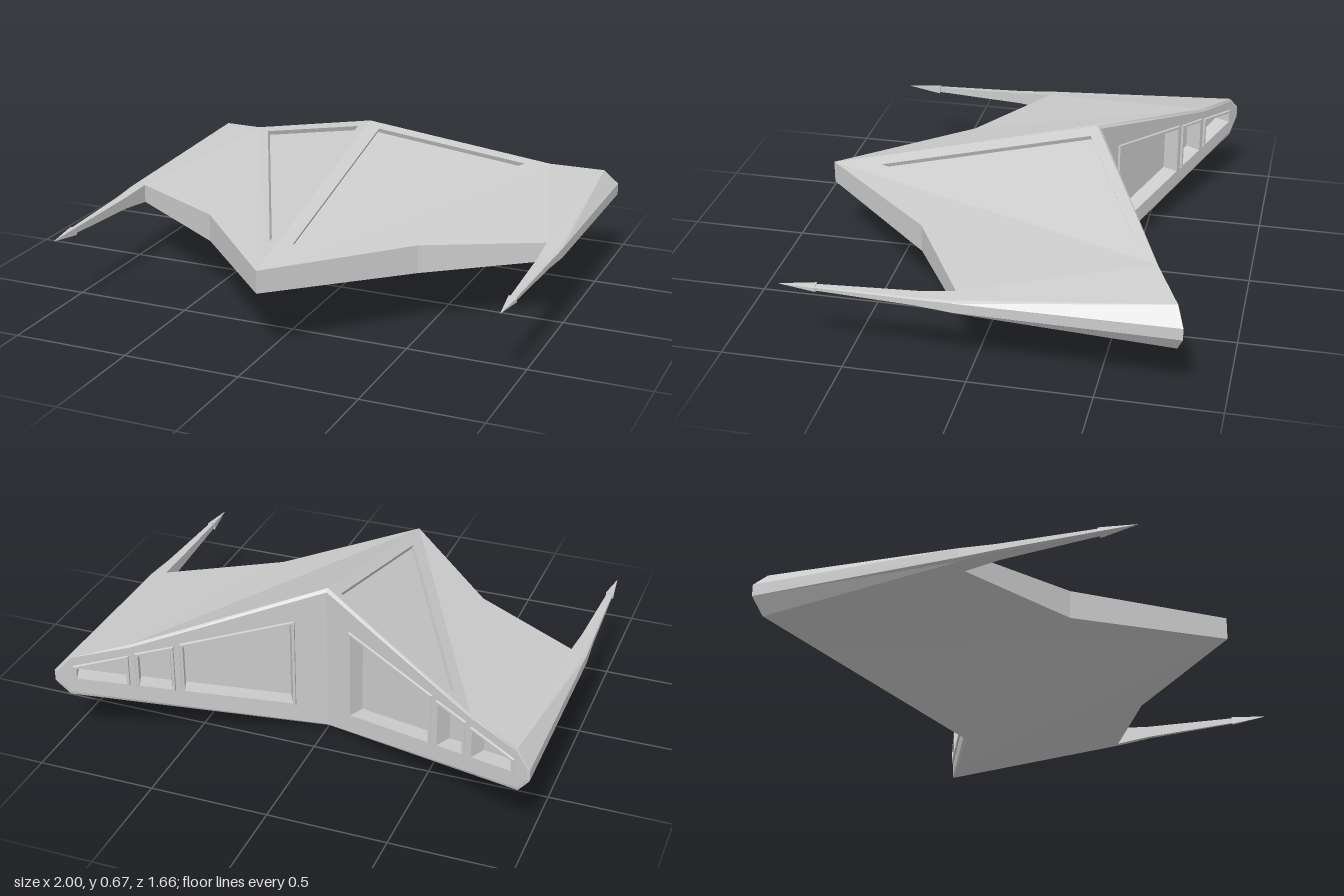
import * as THREE from 'three';

const V = (x, y, z) => new THREE.Vector3(x, y, z);
const CORE = V(0.45, 0.32, -0.3); // inside the right half of the hull

// Collects triangles for the +x half; build() mirrors them to both sides.
class Half {
  tris = [];

  tri(a, b, c) { this.tris.push([a, b, c]); }

  // Triangle turned to face away from the hull core
  outward(a, b, c) {
    const n = b.clone().sub(a).cross(c.clone().sub(a));
    if (n.dot(a.clone().sub(CORE)) < 0) this.tri(a, c, b);
    else this.tri(a, b, c);
  }

  // Outward polygon, with holes, flattened along the given axes to triangulate
  face(points, holes = [], u = 'x', v = 'z') {
    const flat = (loop) => loop.map((p) => new THREE.Vector2(p[u], p[v]));
    const all = [points, ...holes].flat();
    for (const [i, j, k] of THREE.ShapeUtils.triangulateShape(flat(points), holes.map(flat))) {
      this.outward(all[i], all[j], all[k]);
    }
  }

  quad(a, b, c, d) { this.outward(a, b, c); this.outward(a, c, d); }

  // Joins counter-clockwise rings one to the next and caps the last
  loft(rings) {
    for (let i = 0; i < rings.length - 1; i++) {
      const r = rings[i], s = rings[i + 1];
      r.forEach((p, j) => {
        const k = (j + 1) % r.length;
        this.tri(p, r[k], s[k]);
        this.tri(p, s[k], s[j]);
      });
    }
    const end = rings[rings.length - 1];
    for (let j = 1; j < end.length - 1; j++) this.tri(end[0], end[j], end[j + 1]);
  }

  build(name) {
    const pos = [];
    for (const [a, b, c] of this.tris) {
      for (const p of [a, b, c]) pos.push(p.x, p.y, p.z);
      for (const p of [a, c, b]) pos.push(-p.x, p.y, p.z);
    }
    const g = new THREE.BufferGeometry();
    g.setAttribute('position', new THREE.Float32BufferAttribute(pos, 3));
    g.computeVertexNormals();
    const mesh = new THREE.Mesh(g, new THREE.MeshStandardMaterial({ color: 0xcccccc, flatShading: true }));
    mesh.name = name;
    return mesh;
  }
}

export function createModel() {
  const group = new THREE.Group();
  group.name = 'gliderCraft';

  // Leading edge corners, upper (1) and lower (0)
  const N1 = V(0, 0.375, 0.83), N0 = V(0, 0.28, 0.83);
  const M1 = V(0.47, 0.37, 0.31), M0 = V(0.47, 0.25, 0.31);
  const I1 = V(0.93, 0.36, 0.05), I0 = V(0.93, 0.28, 0.05);

  // Swept trailing edge
  const rear = (x, y) => V(x, y, -0.33 - 0.5 * x);
  const edge = [[0, 0.665], [0.72, 0.45], [0.94, 0.415], [1, 0.35], [1, 0.3], [0.95, 0.23], [0.72, 0.174], [0, 0]]
    .map(([x, y]) => rear(x, y));
  const [R1, S1, T, O1, O2, B, S0, R0] = edge;

  // Root section of the wingtip prong
  const P = [I0, V(0.985, 0.295, 0.05), V(0.998, 0.305, 0.05),
    V(0.998, 0.345, 0.05), V(0.985, 0.352, 0.05), I1];

  // Triangular sunken panel lying in the plane of the main upper facet
  const up = R1.clone().sub(N1).cross(S1.clone().sub(N1)).normalize();
  if (up.y < 0) up.negate();
  const onTop = (x, z) => V(x, N1.y - (up.x * x + up.z * (z - N1.z)) / up.y, z);
  const panel = [onTop(0.05, 0.6), onTop(0.63, -0.6), onTop(0.05, -0.31)];

  // Hull skin
  const hull = new Half();
  hull.face([N1, R1, S1], [panel]);
  hull.outward(N1, S1, M1);
  hull.outward(M1, S1, I1);
  hull.outward(S1, T, I1);
  hull.outward(T, P[4], I1);
  hull.quad(T, O1, P[3], P[4]);
  hull.quad(O1, O2, P[2], P[3]);
  hull.quad(O2, B, P[1], P[2]);
  hull.outward(N0, R0, S0);
  hull.outward(N0, S0, M0);
  hull.outward(M0, S0, I0);
  hull.outward(S0, B, I0);
  hull.outward(B, P[1], I0);
  hull.quad(N1, M1, M0, N0);
  hull.quad(M1, I1, I0, M0);
  group.add(hull.build('hull'));

  const recess = new Half();
  recess.loft([panel, panel.map((p) => p.clone().addScaledVector(up, -0.02))]);
  group.add(recess.build('topPanelRecess'));

  // Rear bulkhead: point on its plane, raised by h along its normal
  const onRear = (x, y, h = 0) => V(x - 0.44 * h, y, -0.345 - 0.488 * x - 0.9 * h);
  const winTop = (x) => 0.515 - 0.204 * (x - 0.12);
  const winLow = (x) => 0.13 + 0.222 * (x - 0.12);
  const ring = (x0, x1, d, h) => [
    onRear(x0 - d, winLow(x0) - d, h), onRear(x0 - d, winTop(x0) + d, h),
    onRear(x1 + d, winTop(x1) + d, h), onRear(x1 + d, winLow(x1) - d, h),
  ];
  const windows = [[0.13, 0.53], [0.575, 0.695], [0.74, 0.92]];

  const cap = [[0, 0.652], [0.72, 0.438], [0.935, 0.403], [0.988, 0.346],
    [0.988, 0.304], [0.945, 0.243], [0.72, 0.187], [0, 0.014]].map(([x, y]) => onRear(x, y));
  const bulkhead = new Half();
  for (let i = 0; i < edge.length - 1; i++) bulkhead.quad(edge[i], edge[i + 1], cap[i + 1], cap[i]);
  bulkhead.face(cap, windows.map(([a, b]) => ring(a, b, 0.012, 0)), 'x', 'y');
  group.add(bulkhead.build('rearBulkhead'));

  // Raised rims and sunken bays
  const bays = new Half();
  for (const [a, b] of windows) {
    bays.loft([ring(a, b, 0.012, 0), ring(a, b, 0.009, 0.008), ring(a, b, 0, 0.008), ring(a, b, -0.004, -0.06)]);
  }
  group.add(bays.build('rearBays'));

  // Forward prong with a barbed point
  const prong = new Half();
  const section = (z, s) => P.map((p) => V(0.963 + (p.x - 0.963) * s, 0.327 + (p.y - 0.327) * s * 0.85, z));
  prong.loft([P, section(0.2, 0.75), section(0.6, 0.35), section(0.6, 0.5), section(0.75, 0.02)]);
  group.add(prong.build('wingtipProngs'));

  return group;
}
